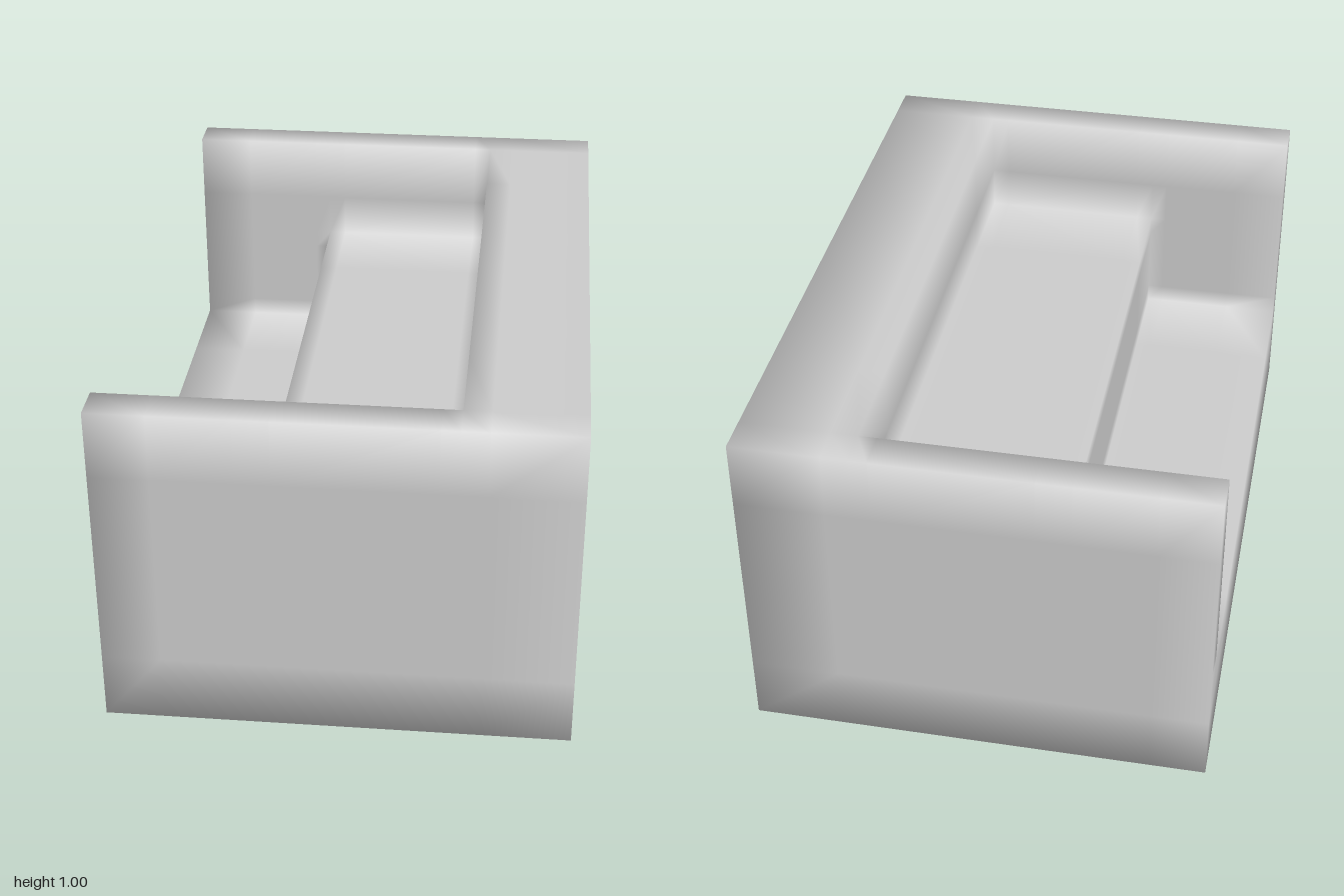
import * as THREE from 'three';

// Cut planes along x, y and z: real edges plus support loops that keep the faces flat
const CUTS = [
  [-0.667, -0.5, -0.27, -0.222, -0.17, 0.28, 0.333, 0.41, 0.667],
  [0, 0.2, 0.333, 0.39, 0.61, 0.667, 0.8, 1],
  [-1, -0.89, -0.6, 0, 0.6, 0.89, 1],
];

// Height of the solid at a plan position: end walls, two treads, tall closed side
function heightAt(x, z) {
  if (Math.abs(z) > 0.89 || x > 0.333) return 1;
  return x < -0.222 ? 0.333 : 0.667;
}

function isFilled(cell) {
  if (cell.some((c, a) => c < 0 || c >= CUTS[a].length - 1)) return false;
  const [x, y, z] = cell.map((c, a) => (CUTS[a][c] + CUTS[a][c + 1]) / 2);
  return y < heightAt(x, z);
}

// Skin of the filled cells, with shared vertices and evenly averaged normals
function buildSkin() {
  const positions = [], normals = [], indices = [];
  const lookup = new Map();

  const vertex = (corner, axis, sign) => {
    const key = corner.join();
    if (!lookup.has(key)) {
      lookup.set(key, positions.length / 3);
      positions.push(...corner.map((c, a) => CUTS[a][c]));
      normals.push(0, 0, 0);
    }
    const i = lookup.get(key);
    normals[i * 3 + axis] += sign;
    return i;
  };

  const addFace = (cell, axis, sign) => {
    const u = (axis + 1) % 3, v = (axis + 2) % 3;
    const quad = [[0, 0], [1, 0], [1, 1], [0, 1]].map(([du, dv]) => {
      const corner = [...cell];
      corner[axis] += sign > 0 ? 1 : 0;
      corner[u] += du;
      corner[v] += dv;
      return vertex(corner, axis, sign);
    });
    if (sign < 0) quad.reverse();
    const [a, b, c, d] = quad;
    indices.push(a, b, c, a, c, d);
  };

  for (let i = 0; i < CUTS[0].length - 1; i++)
    for (let j = 0; j < CUTS[1].length - 1; j++)
      for (let k = 0; k < CUTS[2].length - 1; k++) {
        const cell = [i, j, k];
        if (!isFilled(cell)) continue;
        for (let axis = 0; axis < 3; axis++)
          for (const sign of [-1, 1]) {
            const next = [...cell];
            next[axis] += sign;
            if (!isFilled(next)) addFace(cell, axis, sign);
          }
      }

  const geometry = new THREE.BufferGeometry();
  geometry.setAttribute('position', new THREE.Float32BufferAttribute(positions, 3));
  geometry.setAttribute('normal', new THREE.Float32BufferAttribute(normals, 3));
  geometry.setIndex(indices);
  geometry.normalizeNormals();
  return geometry;
}

export function createModel() {
  const group = new THREE.Group();
  group.name = 'walledSteps';

  // One continuous solid: two steps between end walls, closed by a tall side
  const block = new THREE.Mesh(buildSkin(), new THREE.MeshStandardMaterial({ color: 0xcccccc }));
  block.name = 'stepBlock';
  group.add(block);
  return group;
}
